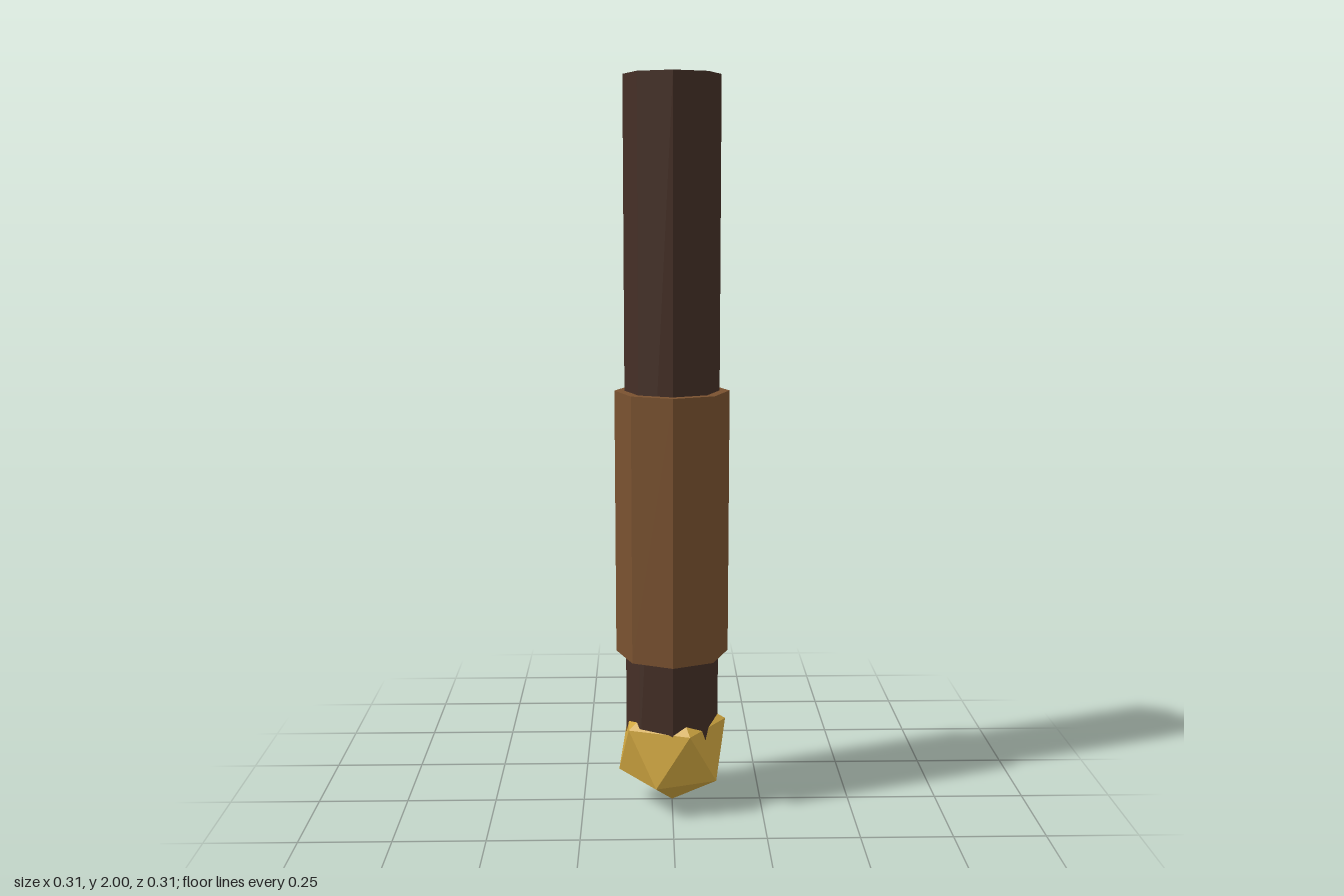
import * as THREE from 'three';
import { ConvexGeometry } from 'three/addons/geometries/ConvexGeometry.js';

function flat(name, color) {
  const m = new THREE.MeshStandardMaterial({ color, flatShading: true });
  m.name = name;
  return m;
}

// Eight-sided solid bar between two heights
function octagonBar(name, radius, y0, y1, material) {
  const mesh = new THREE.Mesh(new THREE.CylinderGeometry(radius, radius, y1 - y0, 8), material);
  mesh.position.y = (y0 + y1) / 2;
  mesh.name = name;
  return mesh;
}

// Twenty-sided knob standing on one corner
function pommelGeometry(r) {
  const h = r / Math.sqrt(5);
  const points = [new THREE.Vector3(0, -r, 0), new THREE.Vector3(0, r, 0)];
  for (let i = 0; i < 5; i++) {
    const a = (i * 2 * Math.PI) / 5;
    const x = 2 * h * Math.cos(a), z = 2 * h * Math.sin(a);
    points.push(new THREE.Vector3(x, h, z), new THREE.Vector3(-x, -h, z));
  }
  return new ConvexGeometry(points);
}

export function createModel() {
  const group = new THREE.Group();
  group.name = 'handle';
  const darkWood = flat('darkWood', 0x452f26);
  const leather = flat('leather', 0x7a5230);
  const gold = flat('gold', 0xd0a640);

  // Shaft ends inside the pommel
  group.add(octagonBar('shaft', 0.128, 0.17, 2, darkWood));
  group.add(octagonBar('grip', 0.155, 0.447, 1.177, leather));

  const pommel = new THREE.Mesh(pommelGeometry(0.167), gold);
  pommel.position.y = 0.171;
  pommel.name = 'pommel';
  group.add(pommel);
  return group;
}
